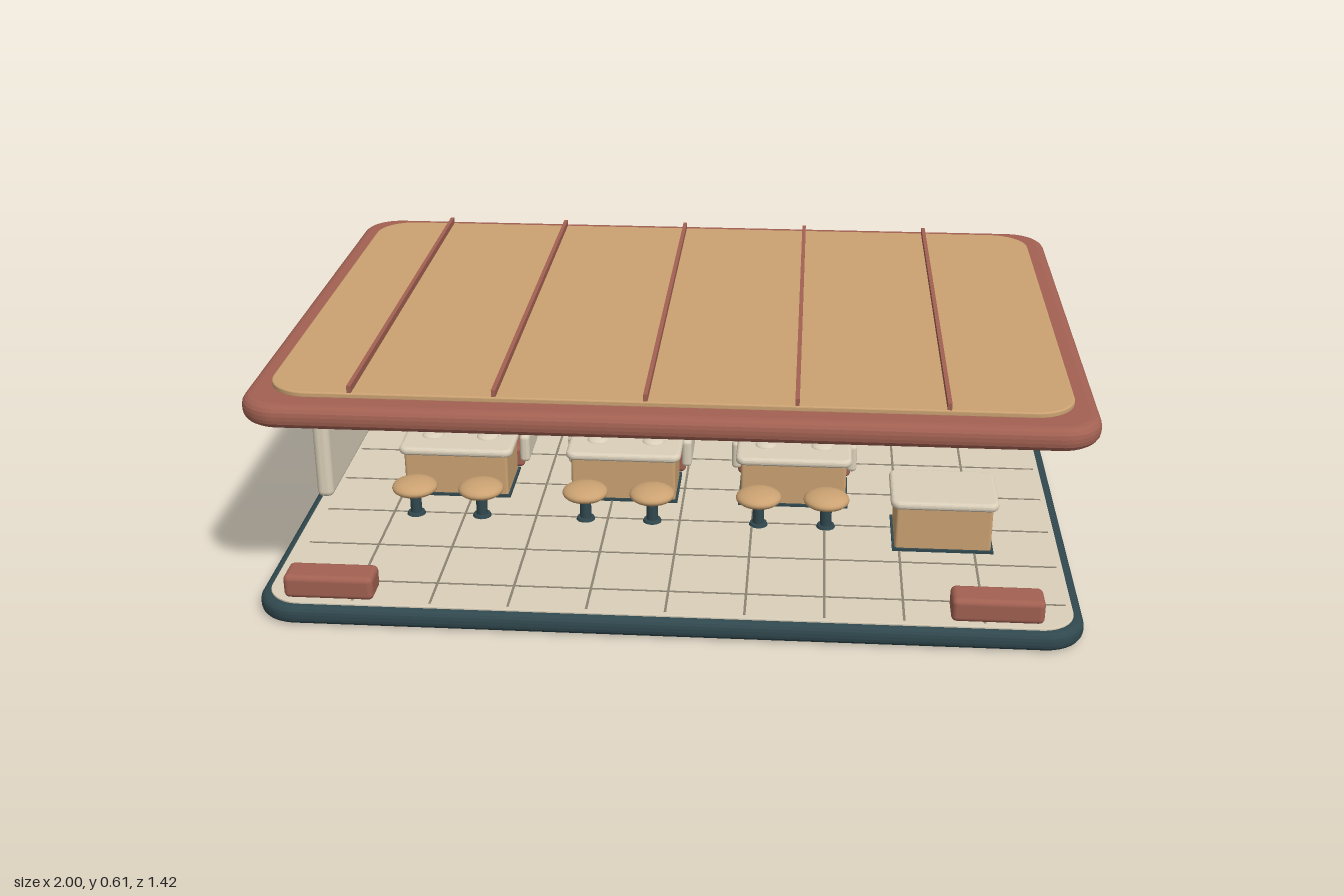
import * as THREE from 'three';
import { RoundedBoxGeometry } from 'three/addons/geometries/RoundedBoxGeometry.js';

const mat = (name, color) => {
  const m = new THREE.MeshStandardMaterial({ color });
  m.name = name;
  return m;
};

export function createModel() {
  const red = mat('brick red', 0xa26152);
  const tan = mat('warm tan', 0xcba272);
  const cream = mat('cream', 0xdacfb9);
  const teal = mat('dark teal', 0x30484e);
  const glass = mat('window glass', 0x6fa3a4);
  const grout = mat('tile grout', 0x8c8474);

  const model = new THREE.Group();
  model.name = 'diner';

  const add = (parent, name, geometry, material, x = 0, y = 0, z = 0) => {
    const mesh = new THREE.Mesh(geometry, material);
    mesh.name = name;
    mesh.position.set(x, y, z);
    parent.add(mesh);
    return mesh;
  };
  // Box given by its extents; r > 0 rounds the edges
  const box = (parent, name, material, [x0, x1], [y0, y1], [z0, z1], r = 0) => {
    const size = [x1 - x0, y1 - y0, z1 - z0];
    const geometry = r ? new RoundedBoxGeometry(...size, 3, r) : new THREE.BoxGeometry(...size);
    return add(parent, name, geometry, material, (x0 + x1) / 2, (y0 + y1) / 2, (z0 + z1) / 2);
  };
  // Horizontal slab with rounded corners and a rounded rim
  const slab = (parent, name, material, hw, hd, y0, y1, radius, bevel, x = 0, z = 0) => {
    const w = hw - bevel, d = hd - bevel, r = radius - bevel;
    const s = new THREE.Shape();
    s.moveTo(-w + r, -d);
    s.lineTo(w - r, -d);
    s.absarc(w - r, -d + r, r, -Math.PI / 2, 0);
    s.lineTo(w, d - r);
    s.absarc(w - r, d - r, r, 0, Math.PI / 2);
    s.lineTo(-w + r, d);
    s.absarc(-w + r, d - r, r, Math.PI / 2, Math.PI);
    s.lineTo(-w, -d + r);
    s.absarc(-w + r, -d + r, r, Math.PI, Math.PI * 1.5);
    const geometry = new THREE.ExtrudeGeometry(s, {
      depth: y1 - y0 - 2 * bevel, bevelEnabled: bevel > 0,
      bevelSize: bevel, bevelThickness: bevel, bevelSegments: 4, curveSegments: 8,
    });
    geometry.rotateX(-Math.PI / 2);
    return add(parent, name, geometry, material, x, y0 + bevel, z);
  };
  const rod = (parent, name, material, x0, x1, y, z, r) => {
    const mesh = add(parent, name, new THREE.CylinderGeometry(r, r, x1 - x0, 16), material, (x0 + x1) / 2, y, z);
    mesh.rotation.z = Math.PI / 2;
  };

  // Base and tiled floor
  slab(model, 'base', teal, 1, 0.705, 0, 0.05, 0.1, 0.02);
  slab(model, 'floor', cream, 0.975, 0.685, 0.045, 0.055, 0.085, 0.002);
  for (let i = -4; i <= 4; i++) {
    box(model, 'tileLine', grout, [i * 0.19 - 0.003, i * 0.19 + 0.003], [0.054, 0.056], [-0.65, 0.67]);
  }
  for (let i = -3; i <= 3; i++) {
    box(model, 'tileLine', grout, [-0.94, 0.96], [0.054, 0.056], [i * 0.19 - 0.003, i * 0.19 + 0.003]);
  }

  // Walls
  box(model, 'backWall', cream, [-0.975, 0.975], [0.05, 0.525], [-0.7, -0.655], 0.015);
  box(model, 'sideWall', cream, [-0.99, -0.945], [0.05, 0.44], [-0.68, 0.12], 0.018);
  box(model, 'baseboard', red, [-0.945, 0.975], [0.07, 0.115], [-0.657, -0.64]);

  // Roof with raised panel and seams
  slab(model, 'roof', red, 0.995, 0.71, 0.52, 0.578, 0.1, 0.024);
  slab(model, 'roofPanel', tan, 0.94, 0.643, 0.575, 0.59, 0.1, 0.004);
  for (const x of [-0.735, -0.397, -0.045, 0.303, 0.648]) {
    box(model, 'roofRib', red, [x - 0.005, x + 0.005], [0.585, 0.607], [-0.64, 0.64]);
  }

  // Rail and light strip along the back wall
  rod(model, 'wallRail', red, -0.92, 0.865, 0.477, -0.627, 0.015);
  rod(model, 'lightStrip', cream, -0.73, 0.73, 0.456, -0.625, 0.007);

  // Windows
  for (const x of [-0.7, -0.123, 0.465]) {
    const w = new THREE.Group();
    w.name = 'window';
    w.position.set(x, 0.341, 0);
    model.add(w);
    for (const s of [-1, 1]) {
      box(w, 'frameSide', teal, [s * 0.175 - 0.01, s * 0.175 + 0.01], [-0.092, 0.092], [-0.657, -0.636]);
      box(w, 'frameRail', teal, [-0.166, 0.166], [s * 0.083 - 0.009, s * 0.083 + 0.009], [-0.657, -0.636]);
    }
    box(w, 'pane', glass, [-0.166, 0.166], [-0.075, 0.075], [-0.656, -0.647]);
    box(w, 'crossBar', teal, [-0.145, 0.145], [0.03, 0.037], [-0.648, -0.637]);
    box(w, 'mullion', cream, [-0.005, 0.005], [-0.078, 0.078], [-0.648, -0.62]);
  }

  // Counter: plinth, body and overhanging top
  const counter = (name, material, x, z, hw, hd) => {
    const c = new THREE.Group();
    c.name = name;
    c.position.set(x, 0, z);
    model.add(c);
    box(c, 'plinth', teal, [-hw - 0.006, hw + 0.006], [0.052, 0.062], [-hd - 0.006, hd + 0.006]);
    box(c, 'body', material, [-hw, hw], [0.055, 0.178], [-hd, hd], 0.008);
    slab(c, 'counterTop', cream, hw + 0.014, hd + 0.012, 0.173, 0.195, 0.025, 0.01);
    return c;
  };

  const foodDome = new THREE.SphereGeometry(0.03, 20, 6, 0, Math.PI * 2, 0, Math.PI / 2);
  foodDome.scale(1, 0.35, 1);
  const seatGeo = new THREE.SphereGeometry(0.06, 24, 12);
  seatGeo.scale(1, 0.36, 1);

  // Three bays, each with a counter, two stools and a sofa behind
  for (const x of [-0.612, -0.16, 0.295]) {
    const island = counter('diningCounter', tan, x, 0, 0.14, 0.084);
    for (const s of [-1, 1]) {
      add(island, 'plate', foodDome, cream, s * 0.075, 0.194, 0);
      const stool = new THREE.Group();
      stool.name = 'stool';
      stool.position.set(x + s * 0.088, 0, 0.197);
      model.add(stool);
      add(stool, 'stoolFoot', new THREE.CylinderGeometry(0.022, 0.025, 0.008, 20), teal, 0, 0.058, 0);
      add(stool, 'stoolLeg', new THREE.CylinderGeometry(0.015, 0.015, 0.075, 16), teal, 0, 0.093, 0);
      add(stool, 'stoolSeat', seatGeo, tan, 0, 0.134, 0);
    }
    const sofa = new THREE.Group();
    sofa.name = 'sofa';
    sofa.position.x = x;
    model.add(sofa);
    box(sofa, 'sofaSeat', red, [-0.155, 0.155], [0.055, 0.115], [-0.24, -0.1], 0.012);
    box(sofa, 'sofaBack', red, [-0.165, 0.165], [0.1, 0.195], [-0.252, -0.203], 0.02);
    for (const s of [-1, 1]) {
      box(sofa, 'sofaArm', cream, [s * 0.158 - 0.014, s * 0.158 + 0.014], [0.075, 0.156], [-0.25, -0.09], 0.012);
    }
  }

  // Front service counter and rear cooking counter
  counter('serviceCounter', tan, 0.68, 0.225, 0.122, 0.09);
  const kitchen = counter('kitchenCounter', red, 0.37, -0.412, 0.388, 0.087);
  for (const x of [-0.208, -0.107, -0.008]) {
    const pan = add(kitchen, 'burner', new THREE.SphereGeometry(0.035, 20, 10), teal, x, 0.203, 0.01);
    pan.scale.y = 0.27;
  }

  // Low benches at the front corners
  for (const x of [-0.818, 0.79]) {
    box(model, 'frontBench', red, [x - 0.11, x + 0.11], [0.054, 0.115], [0.588, 0.67], 0.014);
  }

  return model;
}
